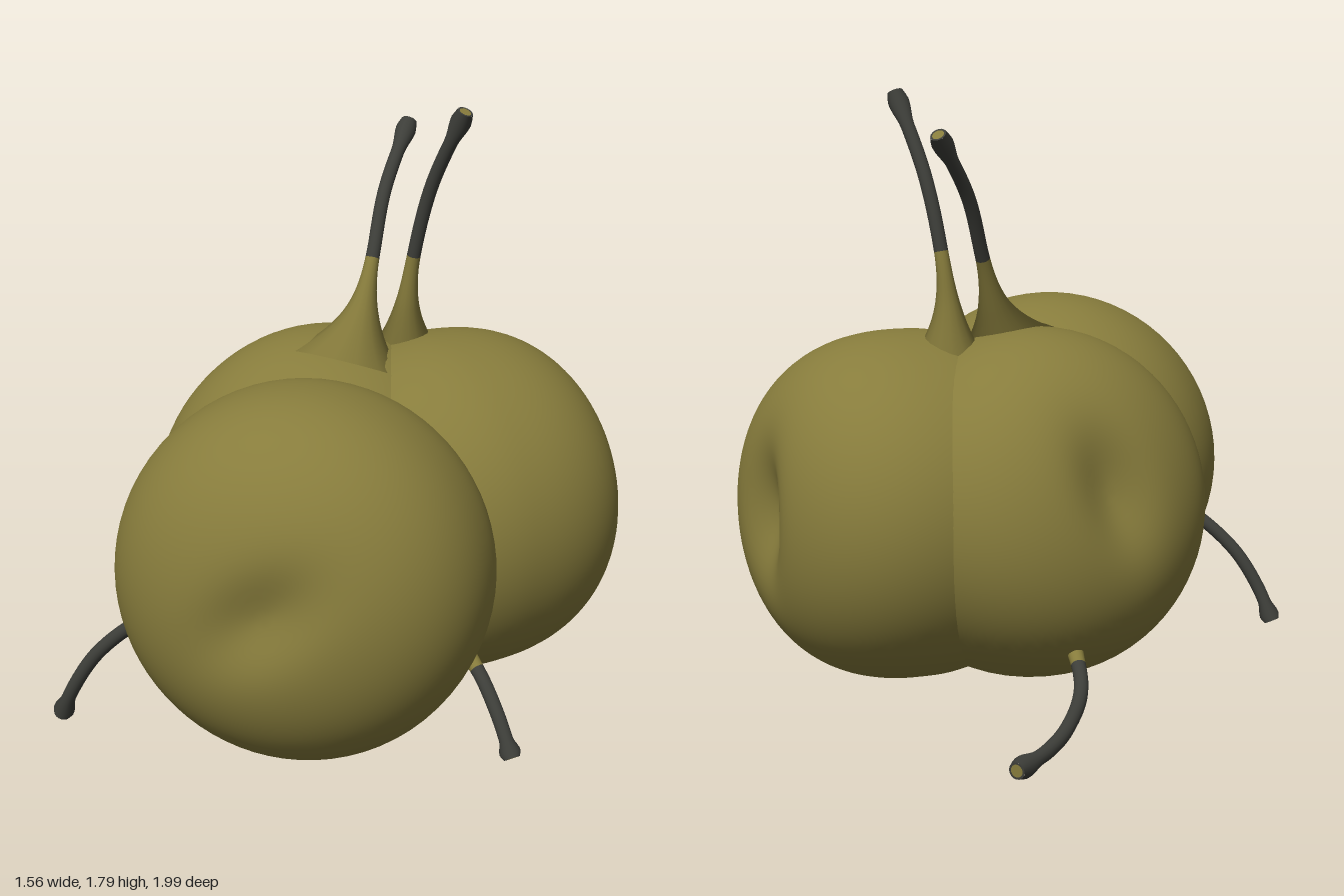
import * as THREE from 'three';
import { mergeVertices } from 'three/addons/utils/BufferGeometryUtils.js';

const olive = new THREE.MeshStandardMaterial({ color: 0x877c3c });
olive.name = 'olive skin';
const bark = new THREE.MeshStandardMaterial({ color: 0x3d3e39 });
bark.name = 'dark bark';

// Plump fruit: blunt dimpled end along `axis`, rounder end behind it
function fruit(name, { centre, axis, radius, front, back, blunt, depth, twist }) {
  const geo = new THREE.SphereGeometry(1, 72, 56);
  const p = geo.attributes.position;
  for (let i = 0; i < p.count; i++) {
    const x = p.getX(i), y = p.getY(i), z = p.getZ(i);
    const s = Math.hypot(x, z), n = y > 0 ? blunt : 2;
    const k = 1 / Math.pow(Math.pow(s, n) + Math.pow(Math.abs(y), n), 1 / n);
    const u = x * k * Math.cos(twist) + z * k * Math.sin(twist);
    const v = z * k * Math.cos(twist) - x * k * Math.sin(twist);
    let h = y * k * (y > 0 ? front : back);
    // Oblong hollow at the blossom end
    if (y > 0) h -= depth * Math.exp(-((u / 0.34) ** 2) - (v / 0.2) ** 2);
    p.setXYZ(i, x * k * radius, h, z * k * radius);
  }
  geo.deleteAttribute('uv');
  geo.deleteAttribute('normal');
  const merged = mergeVertices(geo, 1e-5);
  merged.computeVertexNormals();
  const mesh = new THREE.Mesh(merged, olive);
  mesh.name = name;
  mesh.position.set(...centre);
  mesh.quaternion.setFromUnitVectors(
    new THREE.Vector3(0, 1, 0), new THREE.Vector3(...axis).normalize());
  return mesh;
}

// Curved stalk: flared olive root, thin dark shaft, rounded knob at the end
function stalk(name, points, { flare, root }) {
  const group = new THREE.Group();
  group.name = name;
  const curve = new THREE.CatmullRomCurve3(points.map((q) => new THREE.Vector3(...q)));
  const rings = 50, sides = 16;
  const radiusAt = (t) => 0.021
    + flare * Math.pow(Math.max(0, 1 - t / (root + 0.08)), 3)
    + 0.011 * THREE.MathUtils.smoothstep(t, 0.86, 0.96)
    - 0.008 * THREE.MathUtils.smoothstep(t, 0.965, 1);
  const geo = new THREE.TubeGeometry(curve, rings, 1, sides);
  const p = geo.attributes.position, v = new THREE.Vector3();
  for (let i = 0; i < p.count; i++) {
    const t = Math.floor(i / (sides + 1)) / rings;
    const c = curve.getPointAt(t);
    v.fromBufferAttribute(p, i).sub(c).multiplyScalar(radiusAt(t)).add(c);
    p.setXYZ(i, v.x, v.y, v.z);
  }
  const split = Math.round(root * rings) * sides * 6;
  geo.addGroup(0, split, 0);
  geo.addGroup(split, geo.index.count - split, 1);
  const shaft = new THREE.Mesh(geo, [olive, bark]);
  shaft.name = name + 'Shaft';
  // Cut face at the tip
  const rim = new THREE.Mesh(new THREE.RingGeometry(0.018, 0.024, sides), bark);
  const cut = new THREE.Mesh(new THREE.CircleGeometry(0.018, sides), olive);
  rim.name = name + 'Rim';
  cut.name = name + 'Cut';
  const end = curve.getPointAt(1);
  for (const m of [rim, cut]) {
    m.position.copy(end);
    m.lookAt(end.clone().add(curve.getTangentAt(1)));
  }
  group.add(shaft, rim, cut);
  return group;
}

export function createModel() {
  const model = new THREE.Group();
  model.name = 'fruitCluster';

  // Three fruits pressed together
  model.add(
    fruit('frontFruit', {
      centre: [-0.005, 0.55, 0.55], axis: [0, 0.04, 1], radius: 0.548,
      front: 0.457, back: 0.5, blunt: 2.3, depth: 0.05, twist: -0.65,
    }),
    fruit('backLeftFruit', {
      centre: [0.238, 0.533, -0.135], axis: [0.72, 0.02, -0.7], radius: 0.532,
      front: 0.505, back: 0.51, blunt: 2.45, depth: 0.085, twist: -0.8,
    }),
    fruit('backRightFruit', {
      centre: [-0.11, 0.54, -0.05], axis: [-0.75, 0.25, -0.62], radius: 0.532,
      front: 0.485, back: 0.53, blunt: 2.35, depth: 0.06, twist: 0.4,
    }),
  );

  // Two upright stalks
  model.add(
    stalk('uprightStalkRight', [
      [-0.04, 0.98, -0.02], [-0.015, 1.14, -0.09], [0, 1.3, -0.16],
      [0.01, 1.48, -0.26], [0.045, 1.67, -0.425],
    ], { flare: 0.17, root: 0.42 }),
    stalk('uprightStalkLeft', [
      [0.1, 1.0, -0.17], [0.11, 1.15, -0.155], [0.13, 1.3, -0.15],
      [0.19, 1.53, -0.125], [0.305, 1.775, -0.065],
    ], { flare: 0.085, root: 0.37 }),
  );

  // Three stalks reaching the ground
  model.add(
    stalk('groundStalkRight', [
      [-0.42, 0.39, 0.66], [-0.5, 0.355, 0.65], [-0.62, 0.25, 0.655],
      [-0.7, 0.13, 0.655], [-0.75, 0.025, 0.64],
    ], { flare: 0.02, root: 0.16 }),
    stalk('groundStalkLeft', [
      [0.38, 0.31, 0.36], [0.48, 0.235, 0.44],
      [0.55, 0.14, 0.5], [0.61, 0.025, 0.555],
    ], { flare: 0.055, root: 0.34 }),
    stalk('groundStalkBack', [
      [-0.3, 0.24, -0.28], [-0.39, 0.11, -0.45], [-0.415, 0.06, -0.68],
      [-0.4, 0.04, -0.83], [-0.36, 0.035, -0.99],
    ], { flare: 0.03, root: 0.2 }),
  );
  return model;
}
